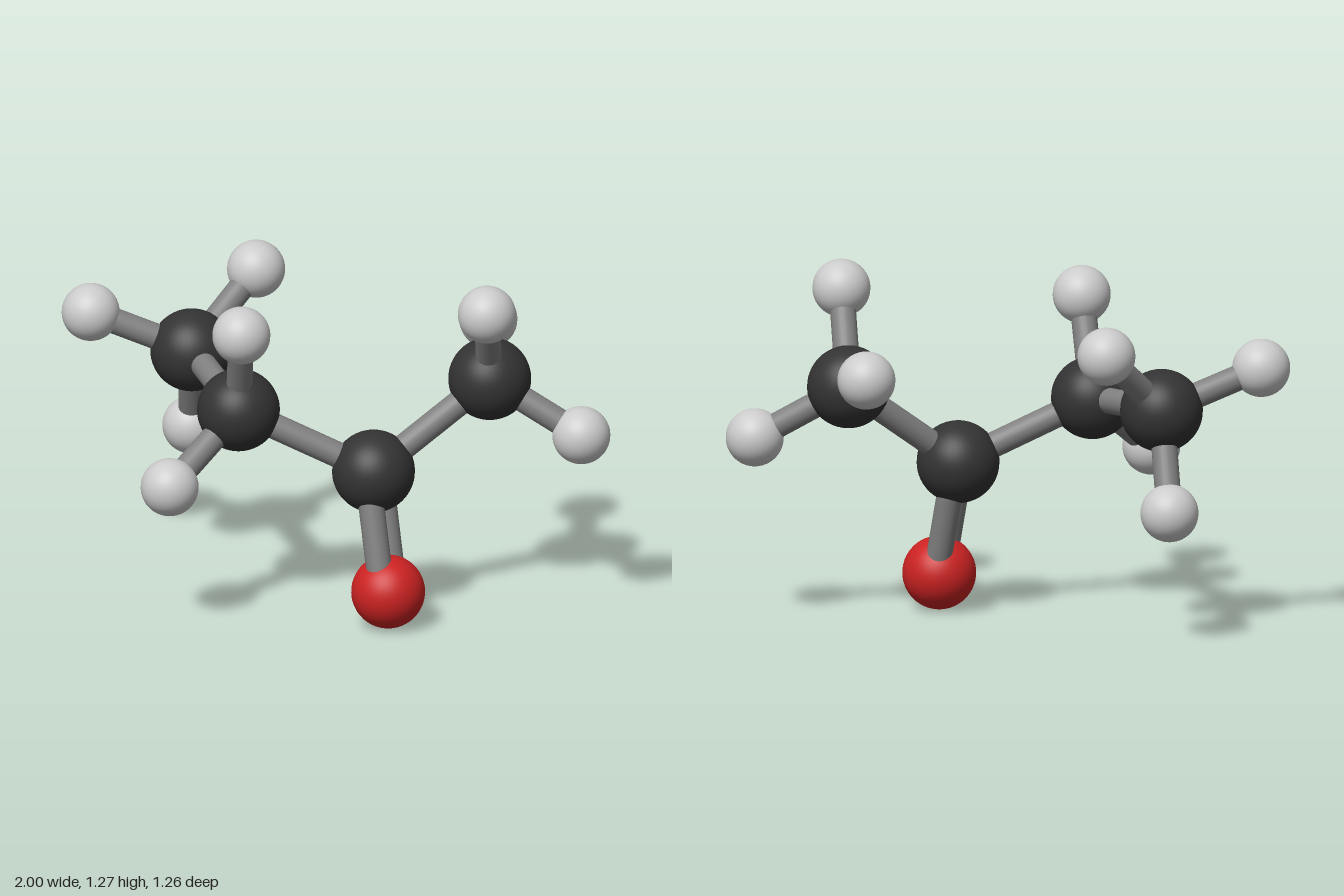
import * as THREE from 'three';

const Y = new THREE.Vector3(0, 1, 0);

export function createModel() {
  const model = new THREE.Group();
  model.name = 'molecule';

  const kinds = {
    carbon: { radius: 0.147, color: 0x333333 },
    oxygen: { radius: 0.131, color: 0xcc2222 },
    hydrogen: { radius: 0.103, color: 0xcccccc },
  };
  for (const kind of Object.values(kinds)) {
    kind.geometry = new THREE.SphereGeometry(kind.radius, 40, 28);
    kind.material = new THREE.MeshStandardMaterial({ color: kind.color });
  }
  const bondMaterial = new THREE.MeshStandardMaterial({ color: 0x808080 });

  // Ball of the given kind
  function atom(kind, name, x, y, z) {
    const mesh = new THREE.Mesh(kinds[kind].geometry, kinds[kind].material);
    mesh.name = name;
    mesh.position.set(x, y, z);
    model.add(mesh);
    return mesh.position;
  }

  // Rod between two atom centres, optionally shifted sideways
  function bond(name, a, b, shift = new THREE.Vector3()) {
    const axis = b.clone().sub(a);
    const mesh = new THREE.Mesh(
      new THREE.CylinderGeometry(0.046, 0.046, axis.length(), 24), bondMaterial);
    mesh.name = name;
    mesh.position.copy(a).add(b).multiplyScalar(0.5).add(shift);
    mesh.quaternion.setFromUnitVectors(Y, axis.normalize());
    model.add(mesh);
  }

  // Carbon chain, from the right end to the left end
  const chain = [
    [-0.569, 0.822, -0.154],
    [-0.216, 0.772, 0.248],
    [0.233, 0.551, 0.081],
    [0.566, 0.858, -0.187],
  ].map((p, i) => atom('carbon', `carbon${i + 1}`, ...p));
  for (let i = 0; i < 3; i++) bond(`chainBond${i + 1}`, chain[i], chain[i + 1]);

  // Hydrogens: index of the carbon they hang on, then position
  [
    [0, -0.898, 0.964, -0.013],
    [0, -0.434, 1.061, -0.418],
    [0, -0.637, 0.484, -0.309],
    [1, -0.137, 1.111, 0.406],
    [1, -0.361, 0.551, 0.528],
    [3, 0.643, 1.172, 0.017],
    [3, 0.893, 0.671, -0.248],
    [3, 0.416, 0.954, -0.524],
  ].forEach(([c, ...p], i) => {
    bond(`hydrogenBond${i + 1}`, chain[c], atom('hydrogen', `hydrogen${i + 1}`, ...p));
  });

  // Oxygen on a double bond, the rods side by side front to back
  const oxygen = atom('oxygen', 'oxygen', 0.319, 0.133, 0.15);
  const side = oxygen.clone().sub(chain[2]).cross(new THREE.Vector3(1, 0, 0)).normalize();
  for (const s of [-1, 1]) {
    bond(s > 0 ? 'doubleBondBack' : 'doubleBondFront', chain[2], oxygen,
      side.clone().multiplyScalar(-0.055 * s));
  }

  return model;
}
